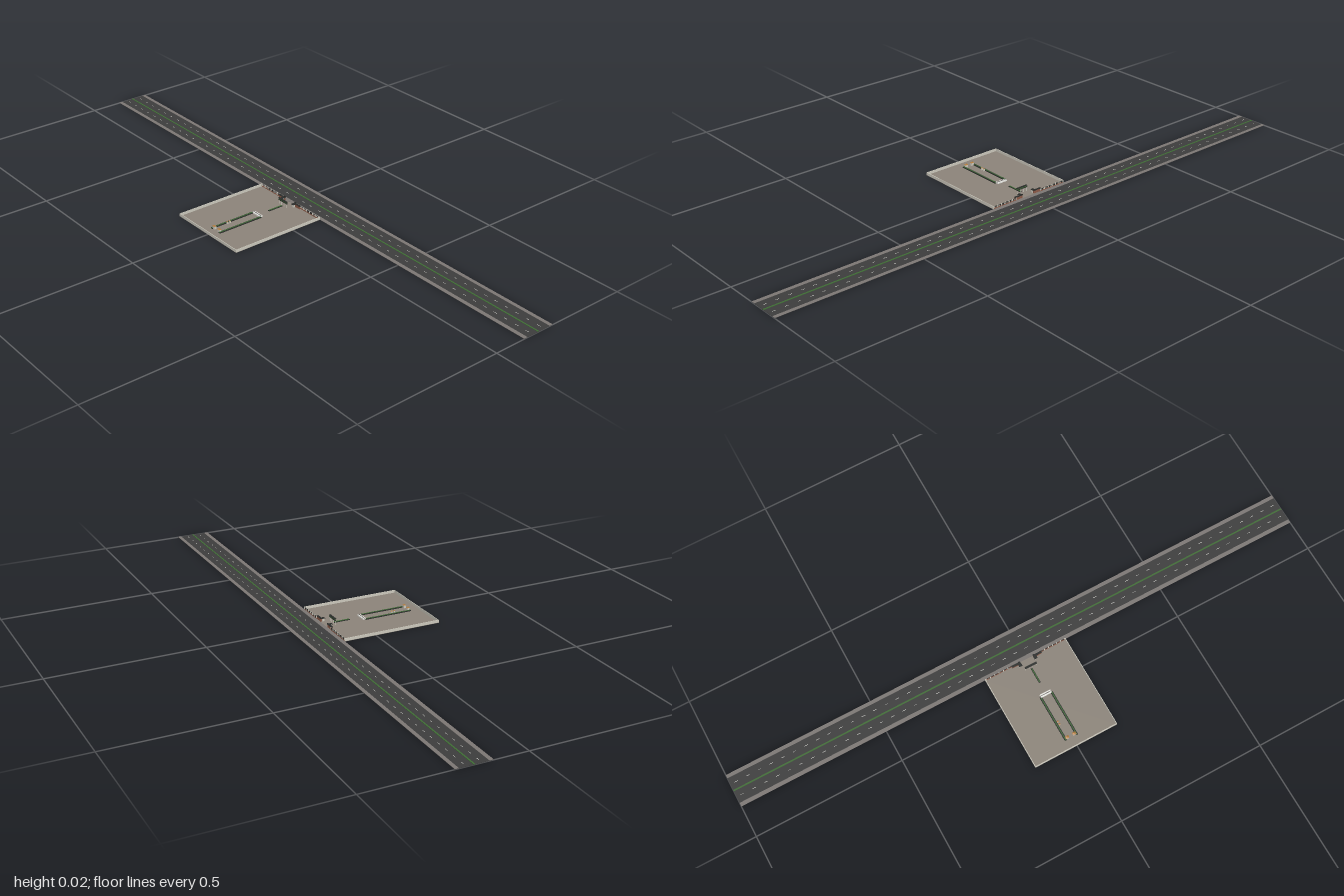
import * as THREE from 'three';

const mat = (name, color) => {
  const m = new THREE.MeshStandardMaterial({ color });
  m.name = name;
  return m;
};

export function createModel() {
  const root = new THREE.Group();
  root.name = 'walledCourtyardAndRoad';
  const paving = mat('paving', 0x8b8379);
  const stone = mat('paleStone', 0xcbc8bc);
  const asphalt = mat('asphalt', 0x3c3c3c);
  const kerb = mat('kerbGrey', 0x7b7673);
  const green = mat('hedgeGreen', 0x3f6b35);
  const dark = mat('darkMetal', 0x2b2d2b);
  const brick = mat('brick', 0x8c5a48);
  const white = mat('white', 0xe9e9e4);
  const ochre = mat('ochre', 0xb07a3c);

  const group = (name) => {
    const g = new THREE.Group();
    g.name = name;
    root.add(g);
    return g;
  };
  // Box given by its extents along each axis
  const box = (parent, name, material, x0, x1, y0, y1, z0, z1) => {
    const m = new THREE.Mesh(new THREE.BoxGeometry(x1 - x0, y1 - y0, z1 - z0), material);
    m.position.set((x0 + x1) / 2, (y0 + y1) / 2, (z0 + z1) / 2);
    m.name = name;
    parent.add(m);
    return m;
  };

  // Road with pavements, planted median and lane dashes
  const road = group('road');
  box(road, 'carriageway', asphalt, 0.107, 0.222, 0, 0.001, -1, 1);
  box(road, 'nearPavement', kerb, 0.107, 0.12, 0.001, 0.0016, -1, 1);
  box(road, 'farPavement', kerb, 0.21, 0.222, 0.001, 0.0016, -1, 1);
  box(road, 'median', green, 0.162, 0.167, 0.001, 0.0022, -1, 1);
  for (const x of [0.142, 0.188]) {
    for (let i = 0; i < 50; i++) {
      const z = -0.98 + i * 0.04;
      box(road, 'laneDash', white, x - 0.0006, x + 0.0006, 0.001, 0.0013, z - 0.006, z + 0.006);
    }
  }

  // Courtyard floor
  const X0 = -0.224, X1 = 0.107, Z0 = -0.149, Z1 = 0.144;
  const yard = group('courtyard');
  box(yard, 'floor', paving, X0, X1, 0, 0.001, Z0, Z1);

  // Boundary walls on three sides
  const walls = group('boundaryWalls');
  const t = 0.0018;
  box(walls, 'backWall', stone, X0, X1, 0.001, 0.01, Z0, Z0 + t);
  box(walls, 'frontWall', stone, X0, X1, 0.001, 0.01, Z1 - t, Z1);
  box(walls, 'sideWall', stone, X0, X0 + t, 0.001, 0.01, Z0 + t, Z1 - t);

  // Roadside fence: brick base, piers and rail, open at the gate
  const fence = group('roadsideFence');
  for (const [a, b] of [[Z0 + t, -0.05], [0.05, Z1 - t]]) {
    box(fence, 'fenceBase', brick, X1 - 0.002, X1, 0.001, 0.004, a, b);
    box(fence, 'fenceRail', dark, X1 - 0.0015, X1 - 0.0005, 0.0085, 0.0095, a, b);
    for (let i = 0; i <= 6; i++) {
      const z = a + 0.0015 + ((b - a - 0.003) * i) / 6;
      box(fence, 'fencePier', stone, X1 - 0.0025, X1, 0.004, 0.0105, z - 0.0015, z + 0.0015);
    }
    for (let i = 1; i < 36; i++) {
      const z = a + ((b - a) * i) / 36;
      box(fence, 'fenceBar', dark, X1 - 0.0013, X1 - 0.0007, 0.004, 0.0085, z - 0.0004, z + 0.0004);
    }
  }

  // Entrance lodges stepping back from the road, mirrored about the gate
  const lodges = group('entranceLodges');
  for (const s of [-1, 1]) {
    const side = (name, m, x0, x1, y0, y1, a, b) =>
      box(lodges, name, m, x0, x1, y0, y1, Math.min(s * a, s * b), Math.max(s * a, s * b));
    side('lodgeWall', brick, 0.1, 0.105, 0.001, 0.0105, 0.024, 0.052);
    side('lodgeRoof', dark, 0.099, 0.106, 0.0105, 0.0118, 0.023, 0.054);
    side('wingWall', stone, 0.092, 0.099, 0.001, 0.0105, 0.024, 0.032);
    side('wingRoof', dark, 0.09, 0.099, 0.0105, 0.0115, 0.022, 0.033);
    side('gatePier', dark, 0.103, 0.1065, 0.0118, 0.0145, 0.024, 0.029);
  }

  // Ceremonial arch inside the gate
  const arch = group('arch');
  for (const z of [-0.019, -0.007, 0.007, 0.019]) {
    box(arch, 'archPost', stone, 0.0742, 0.0758, 0.001, 0.0145, z - 0.0009, z + 0.0009);
  }
  box(arch, 'archBeam', dark, 0.073, 0.077, 0.0145, 0.017, -0.021, 0.021);
  box(arch, 'archPanel', green, 0.0735, 0.0765, 0.017, 0.0205, -0.019, 0.019);
  box(arch, 'archRoof', dark, 0.072, 0.078, 0.0205, 0.0222, -0.021, 0.021);

  // Planted strip leading in from the arch
  const strip = group('entranceStrip');
  box(strip, 'stripEdge', dark, 0.016, 0.071, 0.001, 0.003, -0.003, 0.003);
  box(strip, 'stripHedge', green, 0.018, 0.069, 0.003, 0.0045, -0.0015, 0.0015);

  // Long garden court with hedged sides
  const court = group('gardenCourt');
  for (const z of [-0.022, 0.017]) {
    box(court, 'sideHedge', green, -0.192, -0.03, 0.001, 0.0045, z - 0.0015, z + 0.0015);
    for (const d of [-0.0027, 0.0027]) {
      box(court, 'hedgeEdge', dark, -0.193, -0.029, 0.001, 0.0035, z + d - 0.0012, z + d + 0.0012);
    }
  }
  box(court, 'whiteScreen', white, -0.032, -0.021, 0.001, 0.005, -0.022, 0.017);
  box(court, 'screenCap', kerb, -0.0275, -0.0255, 0.005, 0.0065, -0.022, 0.017);

  // Small pavilions at the far end and beside the hedge
  const pavilion = (x, z, w, d, h) => {
    const g = group('pavilion');
    box(g, 'pavilionBody', stone, x - w / 2, x + w / 2, 0.001, h - 0.003, z - d / 2, z + d / 2);
    const roof = new THREE.Mesh(new THREE.ConeGeometry(Math.SQRT1_2, 1, 4).rotateY(Math.PI / 4), ochre);
    roof.name = 'pavilionRoof';
    roof.scale.set(w * 1.3, 0.003, d * 1.2);
    roof.position.set(x, h - 0.0015, z);
    g.add(roof);
  };
  pavilion(-0.187, -0.015, 0.007, 0.01, 0.0135);
  pavilion(-0.187, 0.01, 0.007, 0.01, 0.0135);
  pavilion(-0.137, -0.015, 0.004, 0.005, 0.0112);
  pavilion(-0.127, -0.015, 0.004, 0.005, 0.0112);

  // Centre the footprint
  const c = new THREE.Box3().setFromObject(root).getCenter(new THREE.Vector3());
  for (const child of root.children) {
    child.position.x -= c.x;
    child.position.z -= c.z;
  }
  return root;
}
